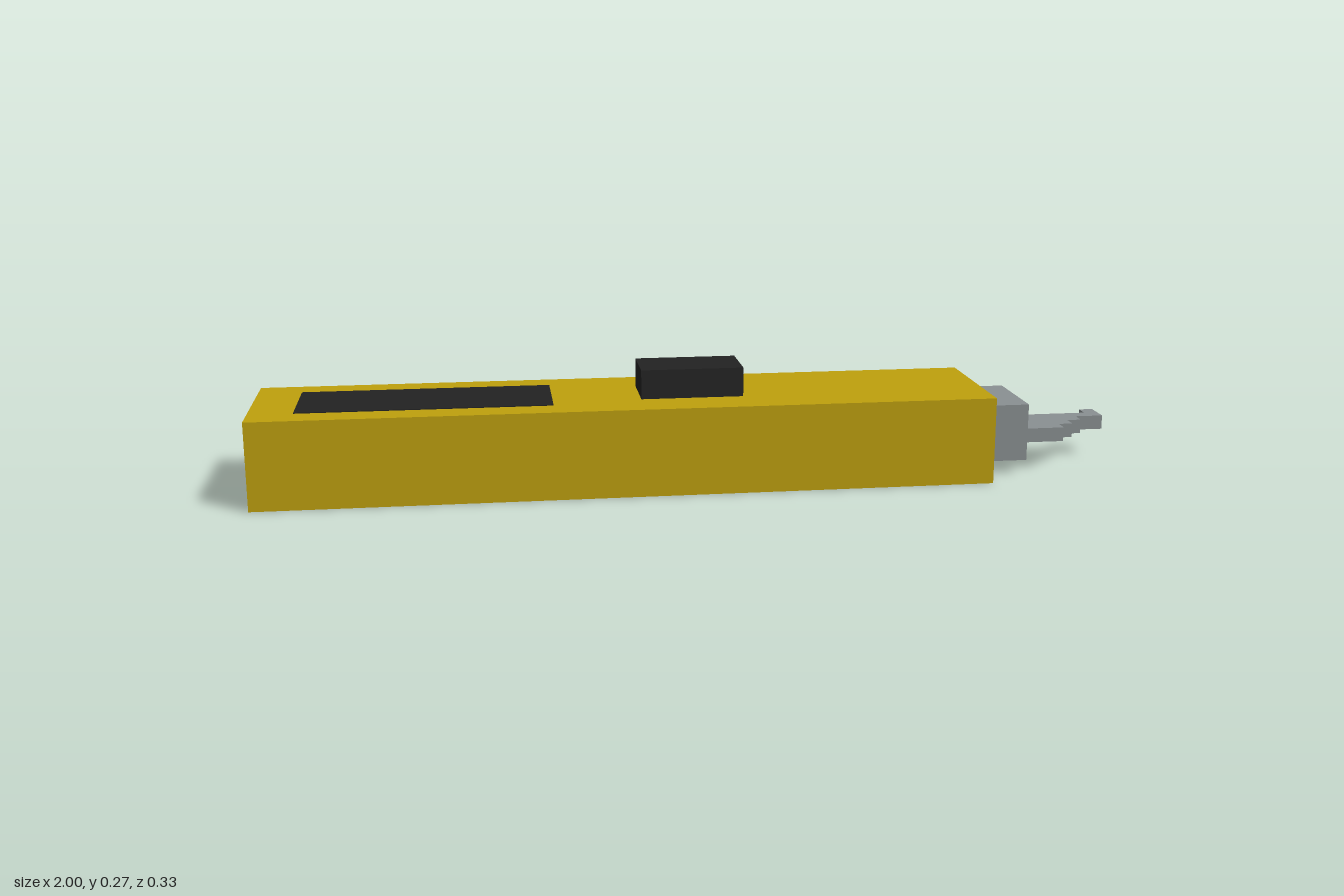
import * as THREE from 'three';

const U = 1 / 30; // modelling unit

export function createModel() {
  const group = new THREE.Group();
  const material = (name, color) => {
    const m = new THREE.MeshStandardMaterial({ color });
    m.name = name;
    return m;
  };
  const yellow = material('mustardYellow', 0xbea00d);
  const black = material('softBlack', 0x222222);
  const grey = material('steelGrey', 0x8a9092);

  const add = (name, geometry, mat) => {
    const mesh = new THREE.Mesh(geometry, mat);
    mesh.name = name;
    group.add(mesh);
    return mesh;
  };
  // Box from x and y ranges, centred on z
  const box = (name, mat, x0, x1, y0, y1, depth) =>
    add(name, new THREE.BoxGeometry((x1 - x0) * U, (y1 - y0) * U, depth * U), mat)
      .position.set((x0 + x1) / 2 * U, (y0 + y1) / 2 * U, 0);

  box('handle', yellow, -30, 20, 0, 6, 10);
  box('labelPlate', black, -27, -10, 6, 6.06, 6);
  box('slideButton', black, -4, 3, 6, 8, 4);
  box('collar', grey, 20, 23, 1, 5, 6);

  // Flat blade with a stepped edge and a hooked tip, as [x, z] corners
  const outline = [
    [23, 2], [26, 2], [26, 1], [27, 1], [27, 0], [28, 0], [28, -1],
    [30, -1], [30, -3], [29, -3], [29, -2], [23, -2],
  ];
  const shape = new THREE.Shape(outline.map(([x, z]) => new THREE.Vector2(x * U, -z * U)));
  const blade = new THREE.ExtrudeGeometry(shape, { depth: U, bevelEnabled: false });
  blade.rotateX(-Math.PI / 2).translate(0, 2 * U, 0);
  add('steppedBlade', blade, grey);

  return group;
}
